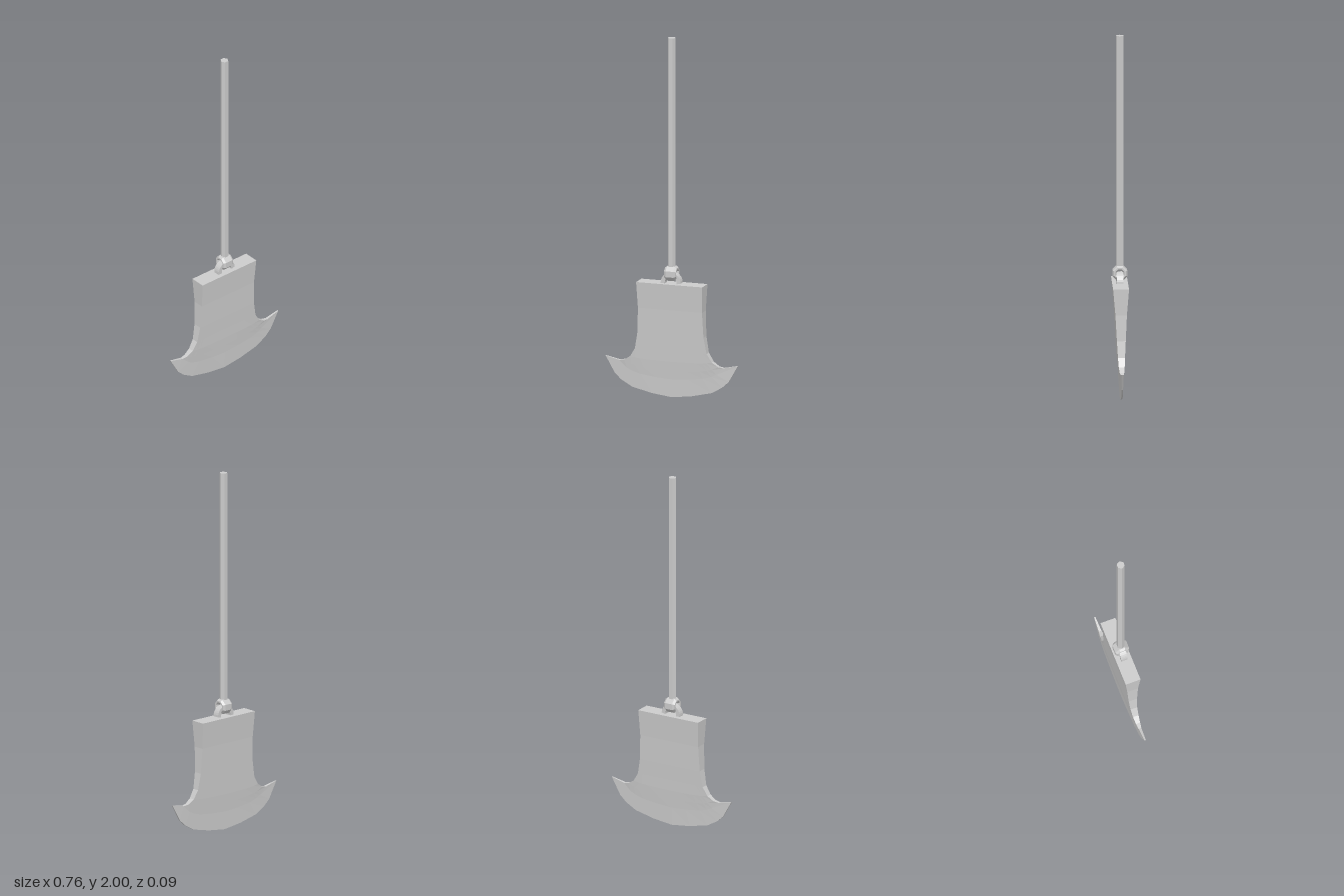
import * as THREE from 'three';

const material = new THREE.MeshStandardMaterial({ color: 0xcccccc, flatShading: true, side: THREE.DoubleSide });

function part(name, geometry) {
  const mesh = new THREE.Mesh(geometry, material);
  mesh.name = name;
  return mesh;
}

// Blade: closed loops stacked from the thick top edge to the thin cutting edge
function bladeGeometry() {
  // side x, side y, centre y, half thickness
  const rows = [
    [0.19, 0.635, 0.635, 0.043],
    [0.184, 0.49, 0.49, 0.031],
    [0.19, 0.35, 0.35, 0.024],
    [0.206, 0.26, 0.26, 0.019],
    [0.235, 0.213, 0.2, 0.016],
    [0.27, 0.19, 0.15, 0.012],
    [0.30, 0.185, 0.1, 0.008],
    [0.38, 0.203, 0, 0.004],
  ];
  // curve of the cutting edge: fraction across, fraction of the rise
  const half = [[0, 0], [0.3, 0.07], [0.6, 0.2], [0.76, 0.37], [0.86, 0.54], [1, 1]];
  const across = [...half.slice(1).reverse().map(([u, g]) => [-u, g]), ...half];
  const n = across.length, loop = 2 * n;
  const positions = [], index = [];
  for (const [x, ySide, yMid, t] of rows) {
    const shift = -0.004 + 0.003 * yMid / 0.635;
    const point = ([u, g], z) => positions.push(u * x, yMid + (ySide - yMid) * g, z + shift);
    across.forEach(p => point(p, t));
    [...across].reverse().forEach(p => point(p, -t));
  }
  const quad = (a, b, c, d) => index.push(a, b, c, a, c, d);
  for (let r = 0; r < rows.length - 1; r++) {
    for (let i = 0; i < loop; i++) {
      const j = (i + 1) % loop, a = r * loop, b = a + loop;
      quad(a + i, b + i, b + j, a + j);
    }
  }
  // top face and cutting edge
  const last = (rows.length - 1) * loop;
  for (let i = 0; i < n - 1; i++) {
    const back = loop - 1 - i;
    quad(i, i + 1, back - 1, back);
    quad(last + back, last + back - 1, last + i + 1, last + i);
  }
  const geometry = new THREE.BufferGeometry();
  geometry.setAttribute('position', new THREE.Float32BufferAttribute(positions, 3));
  geometry.setIndex(index);
  const flat = geometry.toNonIndexed();
  flat.computeVertexNormals();
  return flat;
}

// Arched shackle on top of the blade
function shackleGeometry() {
  const outer = 0.057, inner = 0.034;
  const shape = new THREE.Shape();
  shape.moveTo(outer, 0);
  shape.absarc(0, 0.006, outer, 0, Math.PI, false);
  shape.lineTo(-outer, 0);
  shape.lineTo(-inner, 0);
  shape.absarc(0, 0.006, inner, Math.PI, 0, true);
  shape.lineTo(inner, 0);
  const geometry = new THREE.ExtrudeGeometry(shape, { depth: 0.036, bevelEnabled: false, curveSegments: 8 });
  return geometry.translate(0, 0, -0.018);
}

// Chamfered ring, its axis along x
function ringGeometry() {
  const profile = [
    [0.018, -0.022], [0.026, -0.034], [0.034, -0.034], [0.043, -0.022],
    [0.043, 0.022], [0.034, 0.034], [0.026, 0.034], [0.018, 0.022], [0.018, -0.022],
  ].map(([r, y]) => new THREE.Vector2(r, y));
  return new THREE.LatheGeometry(profile, 8, Math.PI / 8).rotateZ(Math.PI / 2);
}

export function createModel() {
  const group = new THREE.Group();
  group.name = 'pendulumAxe';

  group.add(part('blade', bladeGeometry()));

  const shackle = part('shackle', shackleGeometry());
  shackle.position.y = 0.634;
  group.add(shackle);

  const ring = part('ring', ringGeometry());
  ring.position.y = 0.691;
  group.add(ring);

  // Six-sided rod with corners towards the sides
  const rod = part('rod', new THREE.CylinderGeometry(0.022, 0.022, 1.28, 6, 1, false, Math.PI / 2));
  rod.position.y = 1.36;
  group.add(rod);

  return group;
}
